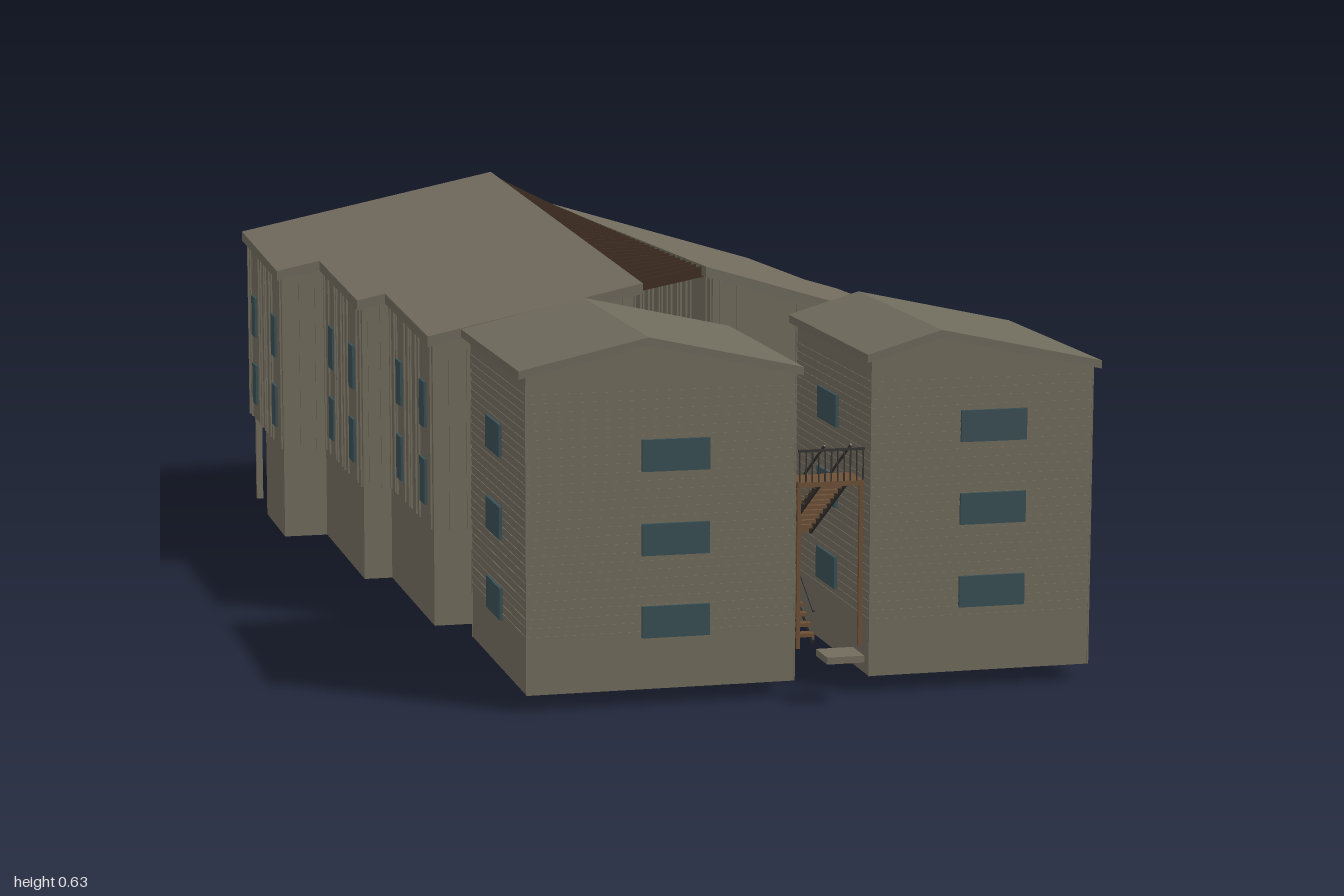
import * as THREE from 'three';

const mat = (name, color) => {
  const m = new THREE.MeshStandardMaterial({ color });
  m.name = name;
  return m;
};

export function createModel() {
  const wall = mat('wall', 0x726c5d), roof = mat('roof', 0x6f6a5c), glass = mat('glass', 0x394f54);
  const wood = mat('wood', 0x6d5036), beam = mat('darkBeam', 0x3e2b1e), metal = mat('metal', 0x353330);
  const model = new THREE.Group();
  model.name = 'apartmentBuildings';

  const group = (name, parent = model) => {
    const g = new THREE.Group();
    g.name = name;
    parent.add(g);
    return g;
  };
  const add = (parent, name, geo, m) => {
    const mesh = new THREE.Mesh(geo, m);
    mesh.name = name;
    parent.add(mesh);
    return mesh;
  };
  // Box given by its minimum and maximum corners
  const box = (parent, name, m, x0, x1, y0, y1, z0, z1) => {
    const mesh = add(parent, name, new THREE.BoxGeometry(x1 - x0, y1 - y0, z1 - z0), m);
    mesh.position.set((x0 + x1) / 2, (y0 + y1) / 2, (z0 + z1) / 2);
  };
  // Rectangular bar between two points
  const bar = (parent, name, m, a, b, w, h = w) => {
    const p = new THREE.Vector3(...a), q = new THREE.Vector3(...b);
    const mesh = add(parent, name, new THREE.BoxGeometry(w, h, p.distanceTo(q)), m);
    mesh.position.copy(p).add(q).multiplyScalar(0.5);
    mesh.lookAt(q);
  };
  // Upright prism over a footprint of [x, z], with top and bottom heights by rule
  const prism = (pts, bottom, top) => {
    const shape = new THREE.Shape(pts.map(([x, z]) => new THREE.Vector2(x, -z)));
    const geo = new THREE.ExtrudeGeometry(shape, { depth: 1, bevelEnabled: false });
    geo.rotateX(-Math.PI / 2);
    const p = geo.attributes.position;
    for (let i = 0; i < p.count; i++) {
      const f = p.getY(i) > 0.5 ? top : bottom;
      p.setY(i, f(p.getX(i), p.getZ(i)));
    }
    geo.computeVertexNormals();
    return geo;
  };
  // Thin window plate; axis tells which way its wall faces
  const pane = (parent, axis, at, along, y, w, h) => {
    const t = 0.0049, u = w / 2, v = h / 2;
    if (axis === 'x') box(parent, 'window', glass, at - t, at + t, y - v, y + v, along - u, along + u);
    else box(parent, 'window', glass, along - u, along + u, y - v, y + v, at - t, at + t);
  };

  // Rear wings: stepped footprints under single-pitch roofs
  const LIP = 0.165, BASE_END = -0.735;
  const wings = [
    {
      name: 'leftRearWing',
      plane: (x, z) => 0.575 - 0.0437 * (z - 0.31) + 0.21 * (x + 0.05),
      roof: [[-0.05, 0.31], [-0.42, 0.31], [-0.42, -0.09], [-0.47, -0.09], [-0.47, -0.5], [-0.55, -0.5], [-0.55, -0.95], [-0.05, -0.95]],
      walls: [[-0.065, 0.3], [-0.41, 0.3], [-0.41, -0.1], [-0.46, -0.1], [-0.46, -0.51], [-0.54, -0.51], [-0.54, -0.94], [-0.065, -0.94]],
      side: [[-0.41, 0.22], [-0.41, 0], [-0.46, -0.2], [-0.46, -0.42], [-0.54, -0.6], [-0.54, -0.85]],
      ends: [[-0.29, -0.94], [-0.43, -0.94], [-0.16, 0.3]],
    },
    {
      name: 'rightRearWing',
      plane: (x, z) => 0.6 + 0.0262 * (z - 0.31) - 0.3 * (x - 0.06),
      roof: [[0.06, 0.31], [0.546, 0.31], [0.546, -0.54], [0.482, -0.54], [0.482, -0.95], [0.06, -0.95]],
      walls: [[0.075, 0.3], [0.536, 0.3], [0.536, -0.53], [0.472, -0.53], [0.472, -0.94], [0.075, -0.94]],
      side: [[0.536, 0.22], [0.536, 0], [0.536, -0.22], [0.536, -0.445], [0.472, -0.605], [0.472, -0.85], [0.075, 0.2]],
      ends: [[0.215, -0.94], [0.37, -0.94], [0.158, 0.3]],
    },
  ];
  for (const w of wings) {
    const g = group(w.name);
    const under = (x, z) => w.plane(x, z) - 0.018;
    const base = w.walls.map(([x, z]) => [x, Math.max(z, BASE_END)]);
    add(g, 'baseWalls', prism(base, () => 0, () => LIP), wall);
    add(g, 'upperWalls', prism(w.walls, () => LIP, under), wall);
    add(g, 'roof', prism(w.roof, under, w.plane), roof);
    const openings = [...w.side, ...w.ends];
    for (const y of [0.237, 0.37]) {
      for (const [x, z] of w.side) pane(g, 'x', x, z, y, 0.046, 0.078);
      for (const [x, z] of w.ends) pane(g, 'z', z, x, y, 0.046, 0.078);
    }
    // Unevenly spaced upright battens that miss the windows
    const battens = group('battens', g);
    const gaps = [0.03, 0.045, 0.022, 0.038];
    w.walls.forEach(([ax, az], i) => {
      const [bx, bz] = w.walls[(i + 1) % w.walls.length];
      const len = Math.hypot(bx - ax, bz - az);
      for (let d = 0.015, k = i; d < len - 0.005; d += gaps[k++ % 4]) {
        const x = ax + (bx - ax) * d / len, z = az + (bz - az) * d / len;
        if (openings.some(([ox, oz]) => Math.hypot(ox - x, oz - z) < 0.03)) continue;
        box(battens, 'batten', wall, x - 0.003, x + 0.003, LIP, under(x, z), z - 0.003, z + 0.003);
      }
    });
  }

  // Rafters bridging the passage between the rear wings
  const rafters = group('rafters');
  for (let i = 0; i < 34; i++) {
    const z = 0.28 - i * 0.0367;
    bar(rafters, 'rafter', beam, [-0.055, wings[0].plane(-0.05, z) - 0.011, z],
      [0.065, wings[1].plane(0.06, z) - 0.011, z], 0.005, 0.018);
  }

  // Posts and a framed glass door below the rear overhang
  const entry = group('rearEntrance');
  for (const [x, z, y] of [[-0.53, -0.9, 0], [-0.075, -0.93, 0.035], [0.085, -0.93, 0.035]])
    box(entry, 'post', wall, x - 0.006, x + 0.006, y, LIP, z - 0.006, z + 0.006);
  for (const x of [-0.042, 0.002, 0.046])
    box(entry, 'doorFrame', metal, x - 0.003, x + 0.003, 0.038, 0.142, -0.934, -0.924);
  box(entry, 'doorHead', metal, -0.039, 0.043, 0.135, 0.142, -0.934, -0.924);
  for (const x of [-0.02, 0.024]) pane(entry, 'z', -0.929, x, 0.0865, 0.038, 0.097);

  // Front blocks: gabled brick houses
  const blocks = [
    { name: 'leftFrontBlock', x0: -0.386, x1: 0.042, ridge: [-0.195, 0.58], e0: [-0.399, 0.535], e1: [0.052, 0.525], win: -0.15, ys: [0.133, 0.263, 0.395] },
    { name: 'rightFrontBlock', x0: 0.165, x1: 0.529, ridge: [0.275, 0.575], e0: [0.155, 0.54], e1: [0.54, 0.517], win: 0.365, ys: [0.155, 0.288, 0.42] },
  ];
  const extrudeXY = (pts, z0, z1) => new THREE.ExtrudeGeometry(
    new THREE.Shape(pts.map((p) => new THREE.Vector2(...p))), { depth: z1 - z0, bevelEnabled: false }).translate(0, 0, z0);
  for (const b of blocks) {
    const g = group(b.name);
    const T = 0.013, low = ([x, y]) => [x, y - T];
    const Z0 = 0.507, Z1 = 0.925, E = 0.001;
    add(g, 'walls', extrudeXY([[b.x0, 0.026], [b.x1, 0.026], [b.x1, b.e1[1] - 0.009],
      low(b.ridge), [b.x0, b.e0[1] - 0.009]], Z0, Z1), wall);
    add(g, 'roof', extrudeXY([low(b.e0), low(b.ridge), low(b.e1), b.e1, b.ridge, b.e0], 0.49, 0.935), roof);
    // Shallow brick courses above a plain plinth, framed by straight corner strips
    const bricks = group('brickCourses', g);
    for (let y = 0.11; y < 0.5; y += 0.014)
      box(bricks, 'course', wall, b.x0 - E, b.x1 + E, y, y + 0.008, Z0 - E, Z1 + E);
    for (const x of [b.x0, b.x1]) for (const z of [Z0, Z1])
      box(bricks, 'cornerStrip', wall, x - 0.0012, x + 0.0012, 0.026, 0.512, z - 0.0012, z + 0.0012);
    for (const y of b.ys) {
      for (const z of [Z0 - E, Z1 + E]) pane(g, 'z', z, b.win, y, 0.108, 0.05);
      for (const x of [b.x0 - E, b.x1 + E]) pane(g, 'x', x, 0.697, y, 0.105, 0.052);
    }
  }

  // Two-flight stair: up from the outer end to a half landing, then back to the top landing
  const stair = (name, x0, x1, yGround, outer, inner, steps, firstOnLeft) => {
    const g = group(name), RISE = 0.133, mid = (x0 + x1) / 2;
    const [oa, ob] = outer, [ia, ib] = inner;
    const half = yGround + RISE, top = half + RISE;
    const slab = (n, y, a, b) => box(g, n, wood, x0, x1, y - 0.008, y, Math.min(a, b), Math.max(a, b));
    const rail = (z, y) => {
      bar(g, 'handrail', metal, [x0, y + 0.05, z], [x1, y + 0.05, z], 0.004);
      for (let i = 0; i <= 10; i++) {
        const x = x0 + 0.002 + (x1 - x0 - 0.004) * i / 10;
        box(g, 'baluster', metal, x - 0.001, x + 0.001, y, y + 0.05, z - 0.001, z + 0.001);
      }
    };
    const flight = (onLeft, y0, z0, y1, z1) => {
      const [xa, xb] = onLeft ? [mid + 0.006, x1] : [x0, mid - 0.006];
      for (let i = 0; i < steps; i++) {
        const t = (i + 0.5) / steps, y = y0 + (y1 - y0) * t, z = z0 + (z1 - z0) * t;
        box(g, 'tread', wood, xa, xb, y - 0.003, y + 0.003, z - 0.009, z + 0.009);
      }
      for (const x of [xa + 0.002, xb - 0.002]) {
        bar(g, 'stringer', metal, [x, y0 - 0.005, z0], [x, y1 - 0.005, z1], 0.004, 0.01);
        bar(g, 'handrail', metal, [x, y0 + 0.045, z0], [x, y1 + 0.045, z1], 0.003);
      }
    };
    flight(firstOnLeft, yGround, ob, half, ia);
    flight(!firstOnLeft, half, ia, top, ob);
    slab('halfLanding', half, ia, ib);
    slab('topLanding', top, oa, ob);
    rail(ib, half);
    rail(oa, top);
    return { g, slab, rail, half };
  };
  const front = stair('frontStair', 0.05, 0.157, 0.073, [0.915, 0.85], [0.625, 0.562], 11, false);
  for (const x of [0.053, 0.154])
    box(front.g, 'post', wood, x - 0.003, x + 0.003, 0.073, 0.332, 0.905, 0.911);
  // The rear stair also has a balcony above the entrance door
  const rear = stair('rearStair', -0.05, 0.06, 0.038, [-0.93, -0.83], [-0.5, -0.44], 15, true);
  rear.slab('balcony', rear.half, -0.93, -0.83);
  rear.rail(-0.93, rear.half);

  // Entrance pads
  box(model, 'frontPad', wall, 0.074, 0.134, 0.067, 0.078, 0.938, 1);
  box(model, 'rearPad', wall, -0.032, 0.028, 0.028, 0.038, -1, -0.94);
  return model;
}
